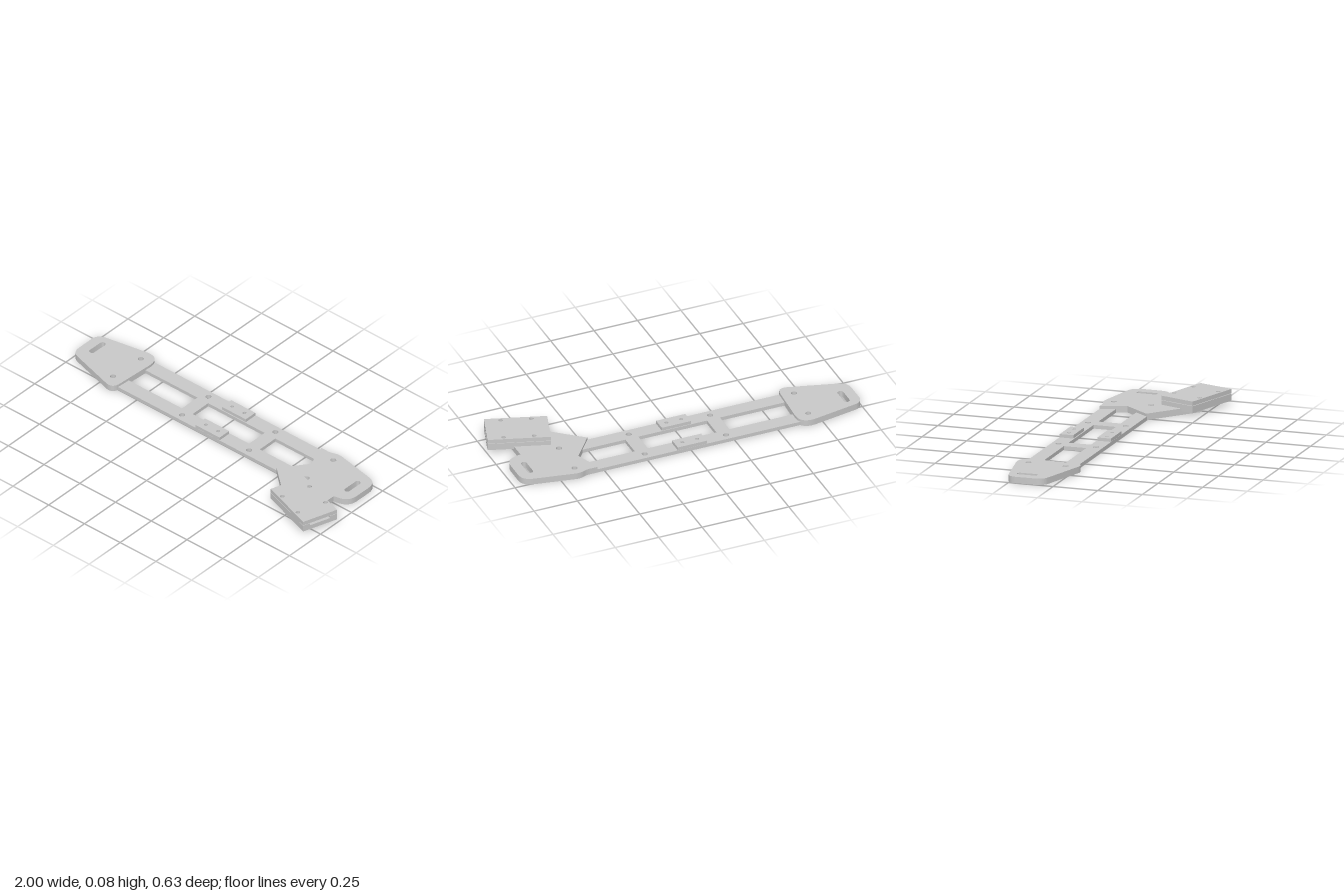
import * as THREE from 'three';
import { toCreasedNormals } from 'three/addons/utils/BufferGeometryUtils.js';

// Closed outline from [x, z, cornerRadius?] points, given clockwise as seen
// from above. z is flipped so the plate can be laid flat after extrusion, and
// the order is reversed so outlines run counter-clockwise.
function trace(path, pts) {
  const corners = [...pts].reverse();
  const v = corners.map(([x, z]) => new THREE.Vector2(x, -z));
  const n = v.length;
  corners.forEach(([, , r = 0], i) => {
    const p = v[i];
    const toward = (q) => p.clone().add(q.clone().sub(p).setLength(r));
    const a = r ? toward(v[(i + n - 1) % n]) : p;
    if (i === 0) path.moveTo(a.x, a.y);
    else path.lineTo(a.x, a.y);
    if (r) {
      const b = toward(v[(i + 1) % n]);
      path.quadraticCurveTo(p.x, p.y, b.x, b.y);
    }
  });
  path.closePath();
  return path;
}

const rect = (x0, z0, x1, z1) => [[x0, z0], [x1, z0], [x1, z1], [x0, z1]];

const rectHole = (...bounds) => trace(new THREE.Path(), rect(...bounds));

function roundHole(x, z, r) {
  return new THREE.Path().absarc(x, -z, r, 0, Math.PI * 2, true);
}

// Slot along z with round ends
function slotHole(x, z0, z1, r) {
  const p = new THREE.Path();
  p.absarc(x, -z0 - r, r, 0, Math.PI, false);
  p.absarc(x, -z1 + r, r, Math.PI, Math.PI * 2, false);
  p.closePath();
  return p;
}

function plate(name, pts, holes, y0, y1, material) {
  const shape = trace(new THREE.Shape(), pts);
  shape.holes.push(...holes);
  let geo = new THREE.ExtrudeGeometry(shape, { depth: y1 - y0, bevelEnabled: false, curveSegments: 12 });
  geo.rotateX(-Math.PI / 2);
  geo.translate(0, y0, 0);
  geo = toCreasedNormals(geo, 0.6);
  const mesh = new THREE.Mesh(geo, material);
  mesh.name = name;
  return mesh;
}

export function createModel() {
  const grey = new THREE.MeshStandardMaterial({ color: 0xc8c8c8 });
  grey.name = 'plainGrey';
  const model = new THREE.Group();
  model.name = 'mountingBracket';

  const railZ = [-0.247, -0.036];
  const padHoleX = [-0.05, 0.035];

  // Ladder frame: two rails joined by cross bars
  const frameHoles = [
    rectHole(-0.645, -0.203, -0.255, -0.078),
    rectHole(-0.18, -0.203, 0.215, -0.078),
    rectHole(0.29, -0.203, 0.6, -0.078),
  ];
  for (const z of railZ) {
    for (const x of [-0.217, 0.252]) frameHoles.push(roundHole(x, z, 0.016));
    for (const x of padHoleX) frameHoles.push(roundHole(x, z, 0.01));
  }
  model.add(plate('ladderFrame', rect(-0.66, -0.286, 0.62, 0.003), frameHoles, 0, 0.02, grey));

  // Raised pads at the middle of each rail
  [['backPad', -0.285], ['frontPad', -0.074]].forEach(([name, z], i) => {
    const holes = padHoleX.map((x) => roundHole(x, railZ[i], 0.01));
    model.add(plate(name, rect(-0.09, z, 0.078, z + 0.076), holes, 0.02, 0.038, grey));
  });

  // Rounded end plate on the right
  model.add(plate('rightEndPlate', [
    [-1, -0.256, 0.05], [-0.612, -0.328, 0.1], [-0.635, 0.048, 0.06], [-1, -0.056, 0.05],
  ], [
    roundHole(-0.69, railZ[0], 0.016), roundHole(-0.70, railZ[1], 0.016),
    slotHole(-0.927, -0.228, -0.114, 0.0165),
  ], 0, 0.035, grey));

  // End plate on the left, with an arm reaching under the clamp block
  model.add(plate('leftEndPlate', [
    [0.54, -0.286], [0.605, -0.286, 0.02], [0.645, -0.305, 0.03], [0.957, -0.246, 0.06],
    [0.956, -0.032, 0.06], [0.865, -0.01], [0.865, 0.157], [0.735, 0.22],
    [0.475, 0], [0.59, -0.145],
  ], [
    roundHole(0.657, railZ[0], 0.016), roundHole(0.654, railZ[1], 0.016),
    slotHole(0.884, -0.198, -0.084, 0.0155),
  ], 0, 0.035, grey));

  // Angled clamp block: floor, U-shaped walls around a pocket, and a lid
  const clamp = new THREE.Group();
  clamp.name = 'clampBlock';
  const hx = 0.168, hz = 0.1035, pz = 0.062;
  const boltHoles = () => [-1, 1].flatMap((i) => [-1, 1].map((j) => roundHole(i * 0.081, j * 0.084, 0.012)));
  const full = rect(-hx, -hz, hx, hz);
  clamp.add(plate('clampFloor', full, boltHoles(), 0.021, 0.046, grey));
  clamp.add(plate('clampWalls', [
    [-hx, -hz], [hx, -hz], [hx, -pz], [-hx + 0.03, -pz],
    [-hx + 0.03, pz], [hx, pz], [hx, hz], [-hx, hz],
  ], boltHoles(), 0.046, 0.059, grey));
  clamp.add(plate('clampLid', full, boltHoles(), 0.0615, 0.0845, grey));
  clamp.position.set(0.807, 0, 0.163);
  clamp.rotation.y = -0.317;
  model.add(clamp);

  return model;
}
